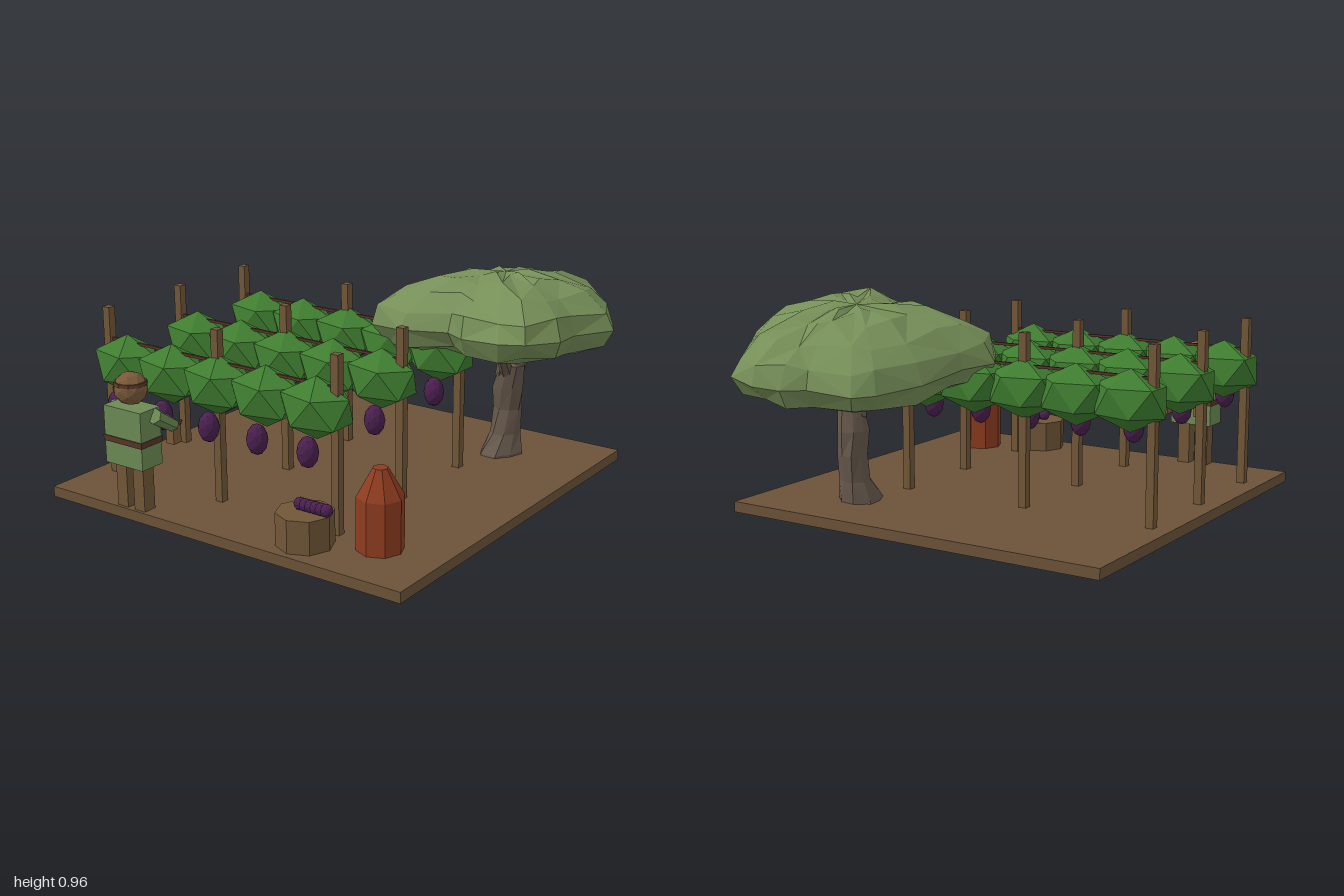
import * as THREE from 'three';
import { ConvexGeometry } from 'three/addons/geometries/ConvexGeometry.js';

const paint = (name, color) => {
  const m = new THREE.MeshStandardMaterial({ color, flatShading: true });
  m.name = name;
  return m;
};

// Closed skin through rings of points, listed from bottom to top, counterclockwise from above
function loft(rings) {
  const n = rings[0].length;
  const pos = [], idx = [];
  rings.forEach(r => r.forEach(p => pos.push(p.x, p.y, p.z)));
  for (let i = 0; i < rings.length - 1; i++) {
    for (let j = 0; j < n; j++) {
      const k = (j + 1) % n;
      const a = i * n + j, b = i * n + k, c = b + n, d = a + n;
      if ((i + j) % 2) idx.push(a, b, c, a, c, d);
      else idx.push(a, b, d, b, c, d);
    }
  }
  [0, rings.length - 1].forEach(i => {
    const mid = new THREE.Vector3();
    rings[i].forEach(p => mid.addScaledVector(p, 1 / n));
    const m = pos.push(mid.x, mid.y, mid.z) / 3 - 1;
    for (let j = 0; j < n; j++) {
      const a = i * n + j, b = i * n + (j + 1) % n;
      if (i === 0) idx.push(m, b, a);
      else idx.push(m, a, b);
    }
  });
  const g = new THREE.BufferGeometry();
  g.setAttribute('position', new THREE.Float32BufferAttribute(pos, 3));
  g.setIndex(idx);
  g.computeVertexNormals();
  return g;
}

// Twenty-sided ball with a corner straight up
function leafBall() {
  const pts = [new THREE.Vector3(0, 1, 0), new THREE.Vector3(0, -1, 0)];
  for (let i = 0; i < 5; i++) {
    const a = i * Math.PI * 0.4;
    const x = 0.894 * Math.cos(a), z = 0.894 * Math.sin(a);
    pts.push(new THREE.Vector3(x, 0.447, z), new THREE.Vector3(-x, -0.447, z));
  }
  return new ConvexGeometry(pts);
}

export function createModel() {
  const soil = paint('soil brown', 0x6b5238);
  const wood = paint('wood', 0x715738);
  const wireMat = paint('dark leather', 0x553626);
  const vine = paint('vine green', 0x3f7d30);
  const purple = paint('grape purple', 0x4b2050);
  const leaves = paint('olive leaves', 0x768f58);
  const bark = paint('bark', 0x65574b);
  const shirt = paint('shirt green', 0x6d8a54);
  const skin = paint('skin', 0x7b5a3a);
  const clay = paint('clay red', 0x8e3c20);

  const model = new THREE.Group();
  const add = (parent, name, geo, mat, x = 0, y = 0, z = 0) => {
    const m = new THREE.Mesh(geo, mat);
    m.name = name;
    m.position.set(x, y, z);
    parent.add(m);
    return m;
  };
  const group = name => {
    const g = new THREE.Group();
    g.name = name;
    model.add(g);
    return g;
  };
  // Straight limb between two points
  const limb = (parent, name, mat, from, to, r0, r1, sides) => {
    const a = new THREE.Vector3(...from), b = new THREE.Vector3(...to);
    const d = b.clone().sub(a);
    const m = add(parent, name, new THREE.CylinderGeometry(r1, r0, d.length(), sides), mat);
    m.position.copy(a).add(b).multiplyScalar(0.5);
    m.quaternion.setFromUnitVectors(new THREE.Vector3(0, 1, 0), d.normalize());
    return m;
  };

  add(model, 'ground', new THREE.BoxGeometry(1.735, 0.045, 1.735), soil, -0.052, 0.0875, 0.098);

  // Three rows of vines on posts and wire
  const bushGeo = leafBall();
  const bunchGeo = new THREE.IcosahedronGeometry(1, 1);
  for (const z of [0.68, 0.243, -0.193]) {
    const row = group('vineRow');
    for (const x of [-0.83, -0.248, 0.335]) {
      add(row, 'post', new THREE.BoxGeometry(0.035, 0.725, 0.035), wood, x, 0.4725, z);
    }
    add(row, 'wire', new THREE.BoxGeometry(1.165, 0.011, 0.011), wireMat, -0.248, 0.7, z);
    for (let i = 0; i < 5; i++) {
      const x = -0.731 + i * 0.2425;
      add(row, 'vineBush', bushGeo, vine, x, 0.605, z).scale.set(0.171, 0.127, 0.123);
      add(row, 'grapeBunch', bunchGeo, purple, x + 0.047, 0.472, z + 0.12).scale.set(0.043, 0.064, 0.043);
    }
  }

  // Picker reaching towards the front row
  const picker = group('picker');
  picker.position.set(-0.49, 0, 0.922);
  add(picker, 'torso', new THREE.BoxGeometry(0.195, 0.24, 0.115), shirt, 0, 0.418, 0);
  add(picker, 'belt', new THREE.BoxGeometry(0.203, 0.024, 0.123), wireMat, 0, 0.403, 0);
  add(picker, 'head', new THREE.IcosahedronGeometry(0.069, 1), skin, 0, 0.61, 0);
  add(picker, 'headBand', new THREE.CylinderGeometry(0.066, 0.069, 0.014, 10), wireMat, 0, 0.634, 0);
  for (const s of [-1, 1]) {
    add(picker, 'leg', new THREE.BoxGeometry(0.055, 0.19, 0.06), wood, s * 0.045, 0.204, 0);
    limb(picker, 'sleeve', shirt, [s * 0.108, 0.512, -0.01], [s * 0.09, 0.435, -0.135], 0.033, 0.028, 6);
    add(picker, 'hand', new THREE.BoxGeometry(0.04, 0.075, 0.045), skin, s * 0.085, 0.395, -0.142);
  }
  limb(picker, 'pruningTool', wireMat, [0.085, 0.4, -0.15], [0.085, 0.44, -0.19], 0.01, 0.006, 5);

  // Harvest basket with loose grapes
  const harvest = group('harvestBasket');
  add(harvest, 'basket', new THREE.CylinderGeometry(0.115, 0.115, 0.135, 8), wood, 0.288, 0.1775, 0.825);
  for (let i = 0; i < 6; i++) {
    add(harvest, 'grape', new THREE.IcosahedronGeometry(0.026, 1), purple, 0.265 + i * 0.0245, 0.268, 0.823);
  }

  // Clay jar with a tapering lid
  const jar = group('clayJar');
  add(jar, 'jarBody', new THREE.CylinderGeometry(0.094, 0.094, 0.215, 8), clay, 0.545, 0.2175, 0.698);
  add(jar, 'jarLid', new THREE.CylinderGeometry(0.03, 0.094, 0.112, 8), clay, 0.545, 0.381, 0.698);

  // Tree trunk: height, centre x, centre z, radius
  const tree = group('tree');
  const trunk = [
    [0, 0.425, -0.5, 0.045], [0.05, 0.385, -0.447, 0.105], [0.12, 0.395, -0.456, 0.09],
    [0.2, 0.4, -0.48, 0.064], [0.31, 0.405, -0.495, 0.06], [0.41, 0.412, -0.483, 0.066],
    [0.52, 0.435, -0.468, 0.054]
  ].map(([y, cx, cz, r], i) => Array.from({ length: 8 }, (_, j) => {
    const a = j * Math.PI / 4 + i * 0.15;
    const k = r * (1 + 0.1 * Math.sin(j * 2.6 + i));
    const lean = i === 0 ? 0.25 * (0.045 - k * Math.sin(a)) : 0;
    return new THREE.Vector3(cx + k * Math.sin(a), y + lean, cz + k * Math.cos(a));
  }));
  add(tree, 'trunk', loft(trunk), bark);
  for (const [from, to] of [
    [[0.42, 0.48, -0.45], [0.47, 0.69, -0.27]],
    [[0.45, 0.49, -0.48], [0.52, 0.7, -0.56]],
    [[0.39, 0.46, -0.46], [0.45, 0.68, -0.38]],
    [[0.42, 0.48, -0.48], [0.33, 0.69, -0.5]]
  ]) limb(tree, 'branch', bark, from, to, 0.03, 0.018, 6);

  // Flat-topped canopy: outline seen from above (x, z), then rings of scale and height
  const outline = [
    [0.03, -0.82], [0.09, -0.895], [0.29, -0.915], [0.37, -0.98], [0.49, -1], [0.645, -0.95],
    [0.71, -0.79], [0.82, -0.635], [0.915, -0.45], [0.84, -0.24], [0.87, -0.07], [0.79, 0.07],
    [0.69, 0.108], [0.5, 0.07], [0.37, -0.04], [0.16, 0], [-0.03, -0.07], [-0.11, -0.195],
    [-0.05, -0.34], [-0.04, -0.61]
  ].reverse();
  const profile = [
    [0.3, -0.085], [0.66, -0.105], [0.9, -0.075], [1, 0], [0.94, 0.08],
    [0.76, 0.15], [0.5, 0.2], [0.22, 0.22]
  ];
  const canopy = profile.map(([s, h], i) => outline.map(([px, pz], j) => {
    const lump = i === 3 ? 0 : 0.012 * Math.sin(j * 1.9 + i * 2.3);
    const k = s + (i === 3 ? 0 : 0.025 * Math.sin(j * 2.7 + i * 1.3));
    const x = 0.4 + (px - 0.4) * k, z = -0.45 + (pz + 0.45) * k;
    return new THREE.Vector3(x, 0.71 + h + lump + 0.1 * (z + 0.45) + 0.08 * (x - 0.4), z);
  }));
  add(tree, 'canopy', loft(canopy), leaves);

  return model;
}
